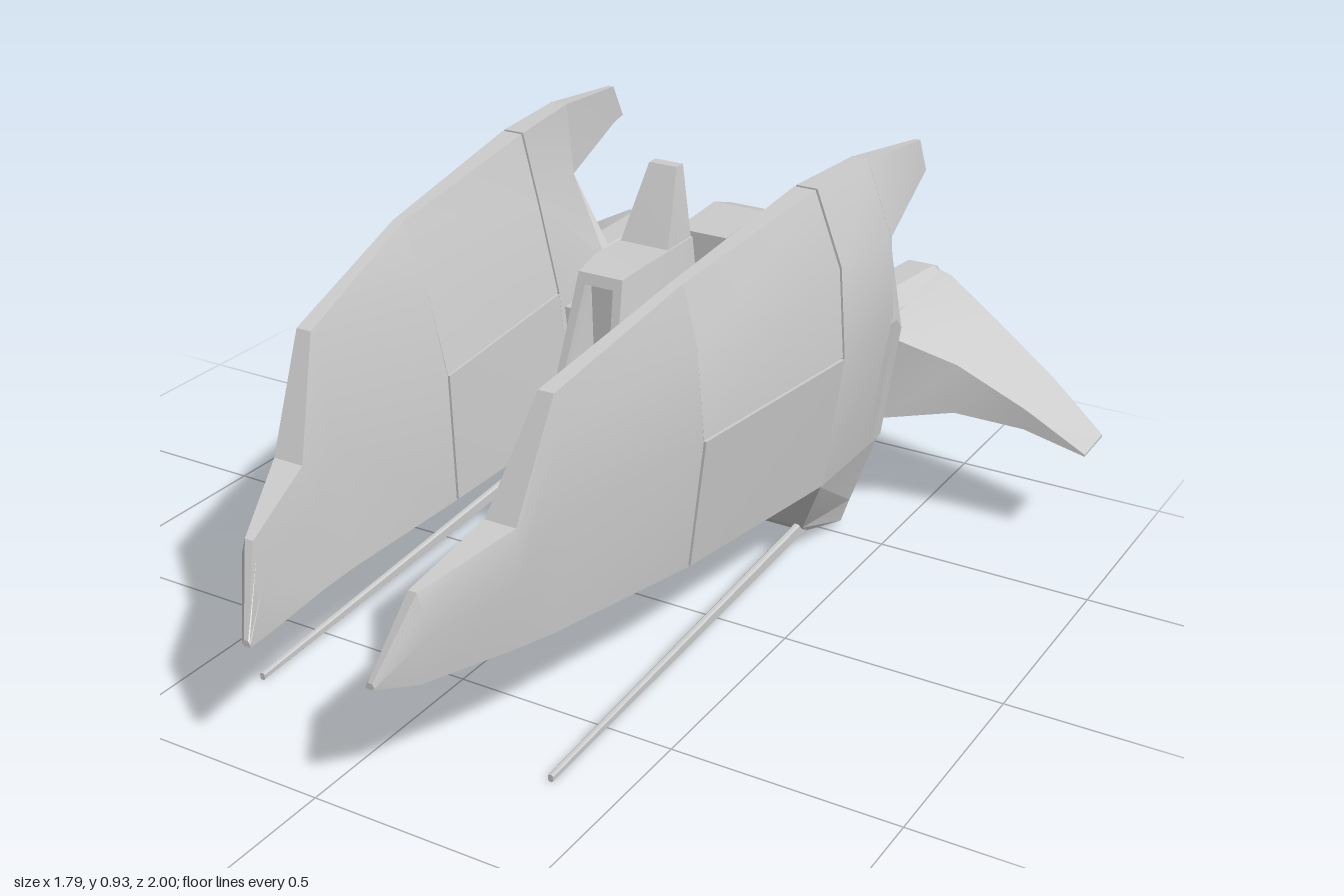
import * as THREE from 'three';
import { toCreasedNormals } from 'three/addons/utils/BufferGeometryUtils.js';

const material = new THREE.MeshStandardMaterial({ color: 0xcccccc });

// Closed solid through a row of equal-length loops, always facing outward.
function loft(loops, crease = 0.35) {
  const tris = [];
  const n = loops[0].length;
  for (let s = 0; s < loops.length - 1; s++) {
    const a = loops[s], b = loops[s + 1];
    for (let i = 0; i < n; i++) {
      const j = (i + 1) % n;
      tris.push([a[i], b[i], b[j]], [a[i], b[j], a[j]]);
    }
  }
  const first = loops[0], last = loops[loops.length - 1];
  for (let i = 1; i < n - 1; i++) {
    tris.push([first[0], first[i], first[i + 1]], [last[0], last[i + 1], last[i]]);
  }
  let volume = 0;
  for (const [a, b, c] of tris) {
    volume += a[0] * (b[1] * c[2] - b[2] * c[1]) + a[1] * (b[2] * c[0] - b[0] * c[2])
      + a[2] * (b[0] * c[1] - b[1] * c[0]);
  }
  const ordered = volume < 0 ? tris.map(([a, b, c]) => [a, c, b]) : tris;
  const geometry = new THREE.BufferGeometry();
  geometry.setAttribute('position', new THREE.Float32BufferAttribute(ordered.flat(2), 3));
  return toCreasedNormals(geometry, crease);
}

// Hull stations: z, then bottom, seam, shoulder and top as (y, inner x, outer x).
const stations = [
  [1.00, 0.295, 0.135, 0.150, 0.300, 0.135, 0.155, 0.304, 0.137, 0.153, 0.308, 0.140, 0.150],
  [0.92, 0.280, 0.155, 0.200, 0.380, 0.165, 0.212, 0.440, 0.175, 0.210, 0.475, 0.180, 0.200],
  [0.72, 0.272, 0.180, 0.270, 0.420, 0.200, 0.287, 0.500, 0.208, 0.288, 0.540, 0.215, 0.285],
  [0.61, 0.266, 0.190, 0.300, 0.530, 0.210, 0.315, 0.700, 0.250, 0.310, 0.775, 0.265, 0.300],
  [0.21, 0.245, 0.205, 0.375, 0.540, 0.220, 0.405, 0.740, 0.270, 0.385, 0.870, 0.325, 0.350],
  [-0.28, 0.235, 0.215, 0.440, 0.555, 0.250, 0.478, 0.760, 0.300, 0.460, 0.925, 0.345, 0.395],
  [-0.51, 0.235, 0.215, 0.440, 0.560, 0.255, 0.490, 0.760, 0.350, 0.475, 0.930, 0.370, 0.410],
];

function station(z) {
  const k = Math.max(1, stations.findIndex((s) => s[0] <= z + 1e-6));
  const a = stations[k - 1], b = stations[k];
  const t = (a[0] - z) / (a[0] - b[0]);
  return a.map((v, i) => v + (b[i] - v) * t);
}

// Hull cross-section from level lo to level hi (0 bottom, 1 seam, 2 shoulder, 3 top).
function hullLoop(z, lo = 0, hi = 3, inset = 0, seamShift = 0) {
  const s = station(z), inner = [], outer = [];
  for (let l = lo; l <= hi; l++) {
    const y = s[1 + l * 3] + (l === 1 ? seamShift : 0) + (l === 0 ? inset : l === 3 ? -inset : 0);
    inner.push([s[2 + l * 3] + inset, y, z]);
    outer.push([s[3 + l * 3] - inset, y, z]);
  }
  return [...outer, ...inner.reverse()];
}

// Six-sided upright section for the centre pods; k bows the face in z.
function hexLoop(z, top, mid, bottom, y0, y1, k = 0) {
  const ym = 0.48;
  const p = (x, y) => [x, y, z + k * Math.abs(y - ym)];
  return [p(-bottom, y0), p(bottom, y0), p(mid, ym), p(top, y1), p(-top, y1), p(-mid, ym)];
}

// Rectangle in the plane of constant y, or constant x.
const flatRect = (y, x0, x1, z0, z1) => [[x0, y, z0], [x1, y, z0], [x1, y, z1], [x0, y, z1]];
const sideRect = (x, zf, yf0, yf1, zr, yr0, yr1) =>
  [[x, yf0, zf], [x, yf1, zf], [x, yr1, zr], [x, yr0, zr]];
// Chamfered rectangle in the plane of constant z.
function chamferRect(z, x0, x1, y0, y1, c) {
  return [[x0 + c, y0, z], [x1 - c, y0, z], [x1, y0 + c, z], [x1, y1 - c, z],
    [x1 - c, y1, z], [x0 + c, y1, z], [x0, y1 - c, z], [x0, y0 + c, z]];
}

export function createModel() {
  const root = new THREE.Group();
  const add = (name, loops, crease) => {
    const mesh = new THREE.Mesh(loft(loops, crease), material);
    mesh.name = name;
    root.add(mesh);
  };
  const pair = (name, loops, crease) => {
    add('left' + name, loops, crease);
    add('right' + name, loops.map((l) => l.map(([x, y, z]) => [-x, y, z])), crease);
  };

  // Side hulls: armour plates parted by a stepped groove over an inset core
  const g = 0.004;
  pair('HullNose', [1, 0.92, 0.72, 0.61, 0.21 + g].map((z) => hullLoop(z)));
  pair('HullUpperPlate', [0.21 + g, -0.28 + g].map((z) => hullLoop(z, 1, 3, 0, g)));
  pair('HullLowerPlate', [0.21 - g, -0.28 - g].map((z) => hullLoop(z, 0, 1, 0, -g)));
  pair('HullRear', [-0.28 - g, -0.51].map((z) => hullLoop(z)));
  pair('HullCore', [0.5, 0.21, -0.28, -0.4].map((z) => hullLoop(z, 0, 3, 0.008)));

  // Swept tail fin on top of each hull
  pair('TailFin', [
    [[0.350, 0.76, -0.505], [0.475, 0.76, -0.505], [0.41, 0.93, -0.505], [0.37, 0.93, -0.505]],
    [[0.398, 0.81, -0.78], [0.425, 0.81, -0.78], [0.415, 0.90, -0.78], [0.402, 0.90, -0.78]],
    [[0.404, 0.814, -0.83], [0.414, 0.814, -0.83], [0.412, 0.82, -0.83], [0.406, 0.82, -0.83]],
  ]);

  // Collar closing the hull in front of the engine
  pair('EngineCollar', [
    [[0.350, 0.76, -0.50], [0.470, 0.76, -0.50], [0.49, 0.56, -0.50], [0.44, 0.235, -0.50],
      [0.22, 0.235, -0.50], [0.255, 0.56, -0.50]],
    [[0.350, 0.76, -0.511], [0.470, 0.76, -0.511], [0.49, 0.56, -0.53], [0.44, 0.235, -0.55],
      [0.22, 0.235, -0.55], [0.235, 0.54, -0.53]],
    [[0.300, 0.56, -0.565], [0.470, 0.56, -0.565], [0.49, 0.53, -0.56], [0.45, 0.25, -0.57],
      [0.22, 0.25, -0.57], [0.235, 0.52, -0.56]],
    [[0.300, 0.545, -0.59], [0.460, 0.545, -0.59], [0.475, 0.52, -0.59], [0.44, 0.28, -0.59],
      [0.27, 0.28, -0.59], [0.27, 0.52, -0.59]],
  ], 0.2);

  // Lower fin carrying the gun
  pair('LowerFin', [
    flatRect(0.28, 0.22, 0.44, -0.27, -0.58),
    flatRect(0.235, 0.22, 0.44, -0.275, -0.575),
    [[0.235, 0.085, -0.34], [0.37, 0.085, -0.34], [0.39, 0.07, -0.55], [0.235, 0.07, -0.55]],
    [[0.24, 0.06, -0.37], [0.36, 0.06, -0.37], [0.375, 0.015, -0.54], [0.24, 0.025, -0.54]],
  ], 0.2);

  // Long thin gun barrel
  pair('GunBarrel', [
    chamferRect(0.72, 0.350, 0.362, 0.005, 0.021, 0.003),
    chamferRect(-0.38, 0.348, 0.364, 0.060, 0.095, 0.004),
  ]);

  // Engine nacelle with a recessed exhaust
  pair('Engine', [
    chamferRect(-0.57, 0.275, 0.42, 0.27, 0.555, 0.04),
    chamferRect(-0.94, 0.31, 0.435, 0.32, 0.540, 0.03),
    chamferRect(-1.00, 0.32, 0.415, 0.34, 0.515, 0.025),
    chamferRect(-1.00, 0.335, 0.400, 0.36, 0.495, 0.02),
    chamferRect(-0.96, 0.34, 0.395, 0.37, 0.485, 0.02),
  ], 0.2);

  // Drooping wing
  pair('Wing', [
    sideRect(0.38, -0.575, 0.285, 0.52, -0.965, 0.36, 0.53),
    sideRect(0.45, -0.585, 0.285, 0.49, -0.945, 0.37, 0.52),
    sideRect(0.59, -0.665, 0.30, 0.42, -0.90, 0.38, 0.45),
    sideRect(0.75, -0.695, 0.285, 0.335, -0.87, 0.32, 0.35),
    sideRect(0.895, -0.71, 0.245, 0.25, -0.825, 0.248, 0.255),
  ], 0.5);

  // Crossbar joining the hulls
  add('crossbar', [-0.30, -0.25, -0.09, 0.09, 0.25, 0.30].map((x) => {
    const wide = Math.abs(x) > 0.2;
    return wide ? sideRect(x, -0.30, 0.36, 0.515, -0.54, 0.36, 0.515)
      : sideRect(x, -0.33, 0.385, 0.505, -0.505, 0.385, 0.505);
  }), 0.2);

  // Front centre pod with a slot recessed in its face
  add('frontPod', [
    hexLoop(-0.01, 0.032, 0.052, 0.025, 0.20, 0.69, -0.28),
    hexLoop(0.015, 0.035, 0.058, 0.028, 0.19, 0.70, -0.28),
    hexLoop(0.015, 0.055, 0.075, 0.050, 0.16, 0.725, -0.28),
    hexLoop(-0.10, 0.065, 0.095, 0.060, 0.16, 0.735, -0.16),
    hexLoop(-0.345, 0.065, 0.095, 0.060, 0.16, 0.735),
  ], 0.2);

  // Sloping mast on the front pod
  add('mast', [
    flatRect(0.70, -0.062, 0.062, -0.345, -0.225),
    flatRect(0.735, -0.06, 0.06, -0.345, -0.24),
    flatRect(0.90, -0.035, 0.035, -0.348, -0.32),
  ], 0.2);

  // Rear centre pod with a recessed exhaust slot
  add('rearPod', [
    hexLoop(-0.505, 0.065, 0.09, 0.06, 0.22, 0.68),
    hexLoop(-0.69, 0.065, 0.09, 0.06, 0.22, 0.69),
    hexLoop(-0.81, 0.06, 0.08, 0.055, 0.25, 0.665, 0.22),
    hexLoop(-0.81, 0.04, 0.06, 0.035, 0.27, 0.65, 0.22),
    hexLoop(-0.77, 0.035, 0.055, 0.03, 0.28, 0.64, 0.22),
  ], 0.2);

  return root;
}
